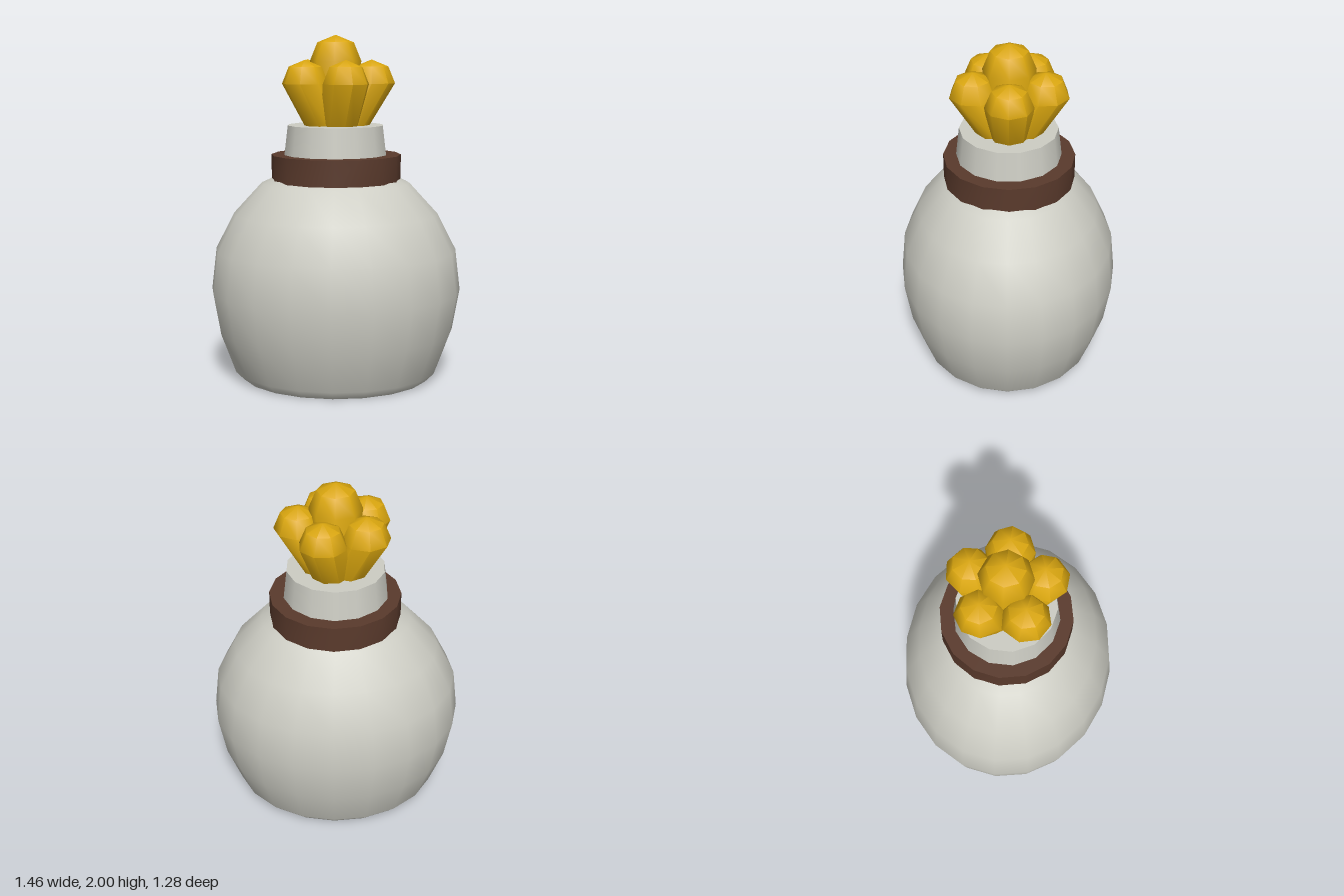
import * as THREE from 'three';
import { toCreasedNormals } from 'three/addons/utils/BufferGeometryUtils.js';

const cloth = new THREE.MeshStandardMaterial({ name: 'cloth', color: 0xcdcdc4 });
const leather = new THREE.MeshStandardMaterial({ name: 'leather', color: 0x5a3a2c });
const gold = new THREE.MeshStandardMaterial({ name: 'gold', color: 0xdca80f });

const lathe = (pts, sides) =>
  new THREE.LatheGeometry(pts.map(([r, y]) => new THREE.Vector2(r, y)), sides);

function part(parent, name, geometry, material) {
  const mesh = new THREE.Mesh(geometry, material);
  mesh.name = name;
  parent.add(mesh);
  return mesh;
}

// Tapered stalk with a rounded top; the stalk leans in toward the axis
function nugget(r, shoulder, lean) {
  const geo = lathe([
    [r * 0.75, 1.4], [r, shoulder],
    [r * 0.71, shoulder + r * 0.71], [0, shoulder + r],
  ], 8);
  const pos = geo.attributes.position;
  for (let i = 0; i < pos.count; i++) {
    const drop = Math.max(0, shoulder - pos.getY(i));
    pos.setX(i, pos.getX(i) - lean * drop);
  }
  return toCreasedNormals(geo, 0.9);
}

export function createModel() {
  const model = new THREE.Group();
  model.name = 'treasurePouch';

  // Round bag, wider than deep, cut flat underneath
  const bag = part(model, 'bag', lathe([
    [0.555, 0], [0.605, 0.05], [0.69, 0.28], [0.732, 0.52], [0.703, 0.76],
    [0.595, 0.97], [0.43, 1.15], [0.23, 1.24], [0, 1.27],
  ], 20), cloth);
  bag.scale.z = 0.877;

  const base = part(model, 'bagBase', new THREE.CircleGeometry(0.555, 20), cloth);
  base.rotation.x = Math.PI / 2;
  base.scale.y = 0.877;

  // Leather band and the cloth neck above it
  const band = part(model, 'band',
    toCreasedNormals(new THREE.CylinderGeometry(0.376, 0.376, 0.15, 16), 0.6), leather);
  band.position.set(0.003, 1.24, -0.007);

  const neck = part(model, 'neck', new THREE.CylinderGeometry(0.28, 0.302, 0.185, 14), cloth);
  neck.position.set(0, 1.3925, -0.005);

  // Gold: one tall nugget in the middle, five leaning out around it
  const nuggets = new THREE.Group();
  nuggets.name = 'goldNuggets';
  nuggets.position.z = -0.008;
  model.add(nuggets);
  part(nuggets, 'middleNugget', nugget(0.148, 1.852, 0), gold);
  for (let i = 0; i < 5; i++) {
    const a = (i * Math.PI * 2) / 5;
    const n = part(nuggets, 'outerNugget', nugget(0.135, 1.725, 0.5), gold);
    n.position.set(Math.cos(a) * 0.207, 0, -Math.sin(a) * 0.207);
    n.rotation.y = a;
  }
  return model;
}
